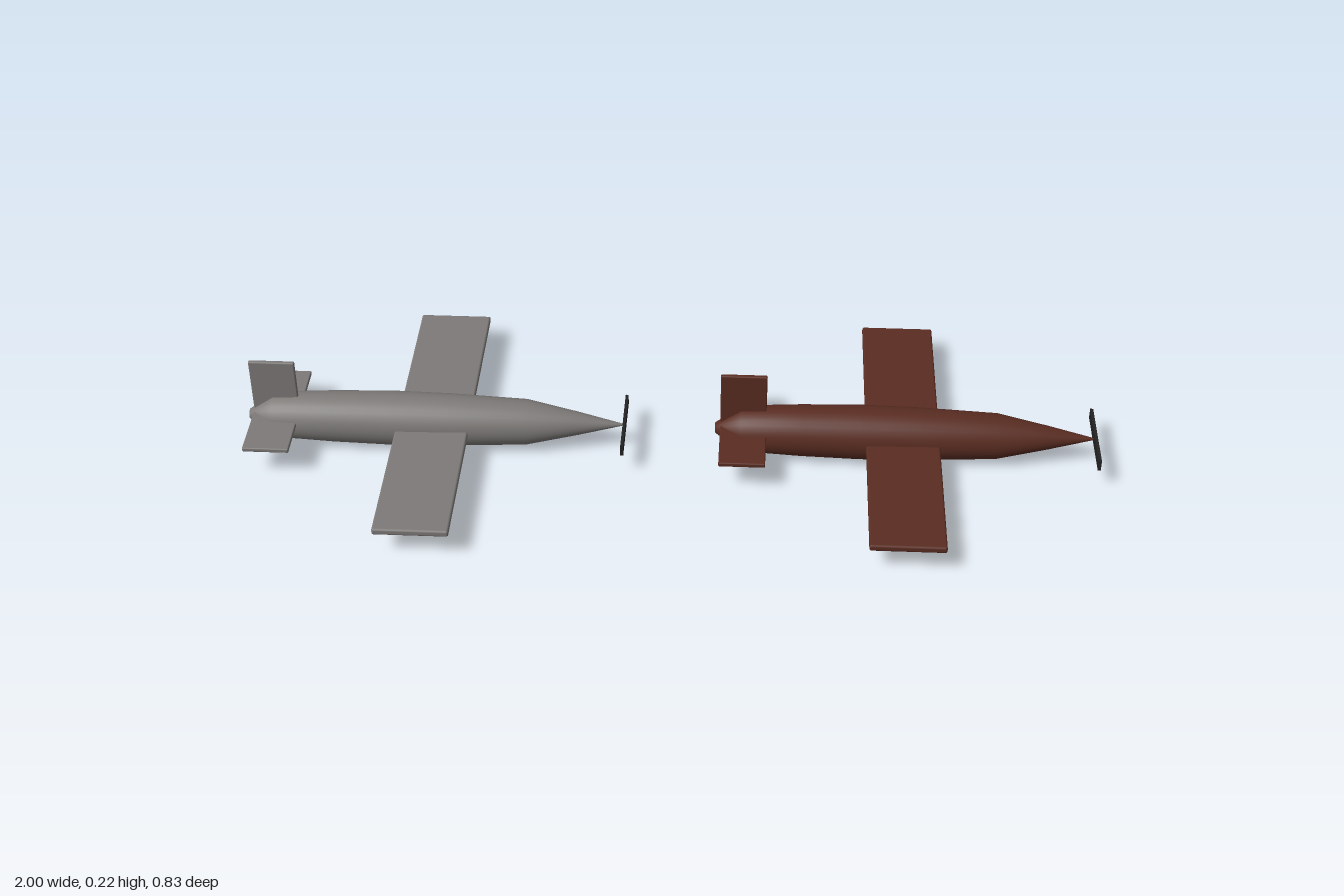
import * as THREE from 'three';
import { RoundedBoxGeometry } from 'three/addons/geometries/RoundedBoxGeometry.js';

const mat = (name, color) => {
  const m = new THREE.MeshStandardMaterial({ color });
  m.name = name;
  return m;
};

// Fuselage outline: [distance from tail, radius]
const PROFILE = [
  [0, 0], [0, 0.012], [0.06, 0.054], [0.2, 0.061], [0.34, 0.0645],
  [0.48, 0.062], [0.66, 0.054], [0.78, 0.028], [0.885, 0.003], [0.888, 0],
];

function createPlane(name, paint, black) {
  const plane = new THREE.Group();
  plane.name = name;
  const add = (partName, geometry, material, x, y) => {
    const mesh = new THREE.Mesh(geometry, material);
    mesh.name = partName;
    mesh.position.set(x, y, 0);
    plane.add(mesh);
  };

  // Body turned around the x axis, nose toward +x
  const body = new THREE.LatheGeometry(PROFILE.map(([d, r]) => new THREE.Vector2(r, d)), 32);
  body.rotateZ(-Math.PI / 2);
  add('fuselage', body, paint, 0, 0.067);

  // Flying surfaces with softly rounded edges
  add('wing', new RoundedBoxGeometry(0.172, 0.016, 0.834, 2, 0.005), paint, 0.44, 0.067);
  add('tailplane', new RoundedBoxGeometry(0.108, 0.011, 0.308, 2, 0.003), paint, 0.066, 0.078);
  add('fin', new RoundedBoxGeometry(0.108, 0.15, 0.011, 2, 0.003), paint, 0.066, 0.146);

  // Flat propeller blade at the nose
  add('propeller', new THREE.BoxGeometry(0.007, 0.026, 0.2), black, 0.891, 0.067);
  return plane;
}

export function createModel() {
  const model = new THREE.Group();
  model.name = 'planePair';
  const black = mat('propellerBlack', 0x222222);
  const grey = createPlane('greyPlane', mat('greyPaint', 0x7d7a78), black);
  grey.position.x = -1;
  const brown = createPlane('brownPlane', mat('brownPaint', 0x5a2d22), black);
  brown.position.x = 0.105;
  model.add(grey, brown);
  return model;
}
